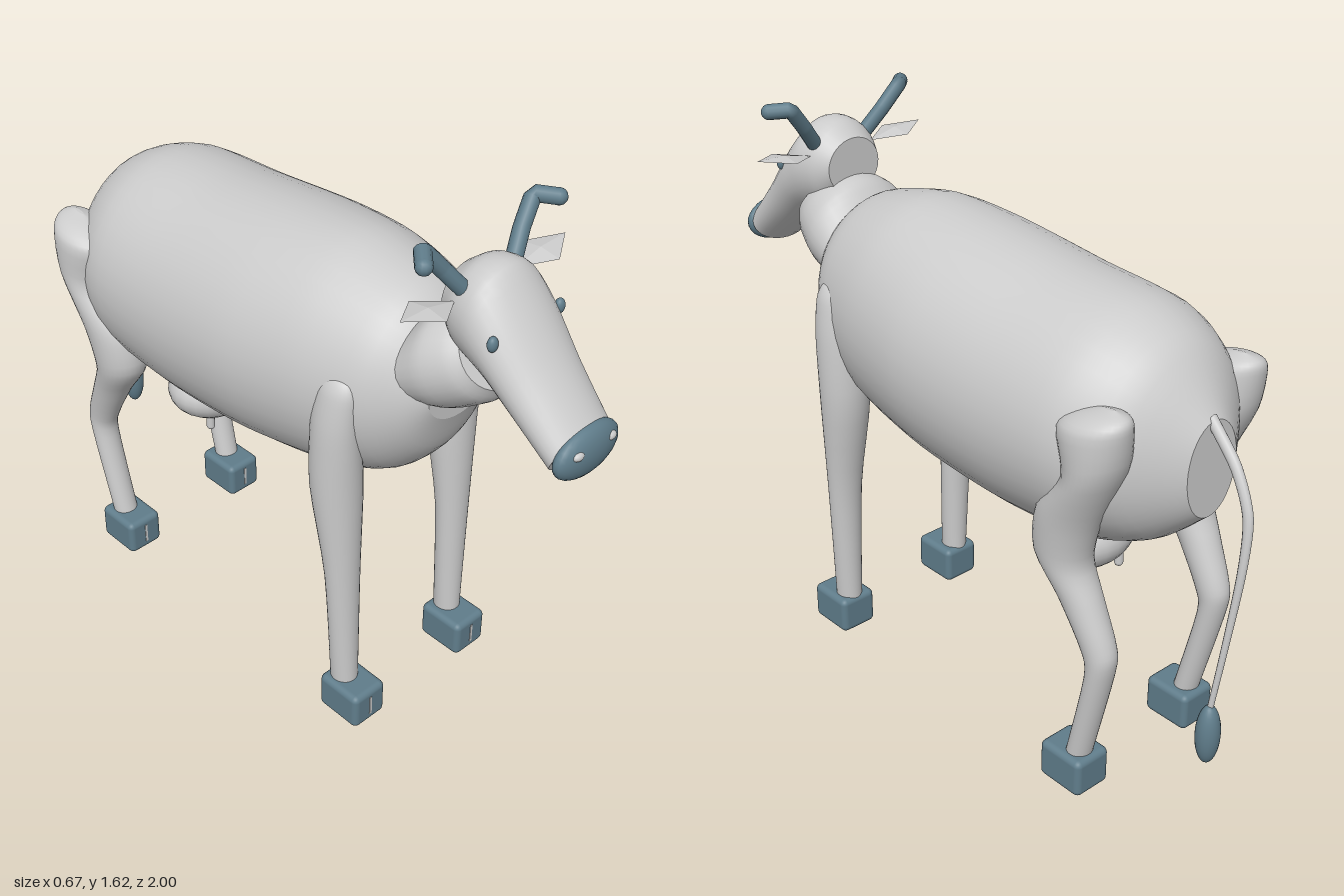
import * as THREE from 'three';
import { RoundedBoxGeometry } from 'three/addons/geometries/RoundedBoxGeometry.js';

const grey = new THREE.MeshStandardMaterial({ color: 0xcccccc });
const dark = new THREE.MeshStandardMaterial({ color: 0x607d8b });

// Smooth loft through oval rings [centreX, radiusX, z1, y1, z2, y2];
// (z1, y1) and (z2, y2) are opposite ends of the ring in the side plane.
function loft(rings, steps = 4, sides = 32) {
  const curve = (f) => new THREE.CatmullRomCurve3(rings.map(f), false, 'catmullrom', 0.4);
  const aCurve = curve((r) => new THREE.Vector3(0, r[3], r[2]));
  const bCurve = curve((r) => new THREE.Vector3(0, r[5], r[4]));
  const xCurve = curve((r) => new THREE.Vector3(r[0], r[1], 0));
  const n = (rings.length - 1) * steps;
  const pos = [], index = [], w = sides + 1;
  const ring = (t) => {
    const a = aCurve.getPoint(t), b = bCurve.getPoint(t), x = xCurve.getPoint(t);
    const mid = a.clone().add(b).multiplyScalar(0.5);
    const half = a.sub(b).multiplyScalar(0.5);
    for (let j = 0; j <= sides; j++) {
      const q = (j % sides) / sides * Math.PI * 2, c = Math.cos(q);
      pos.push(x.x + Math.sin(q) * x.y, mid.y + half.y * c, mid.z + half.z * c);
    }
    return [x.x, mid.y, mid.z];
  };
  for (let i = 0; i <= n; i++) ring(i / n);
  for (let i = 0; i < n; i++) {
    for (let j = 0; j < sides; j++) {
      const v = i * w + j;
      index.push(v, v + 1, v + w, v + 1, v + w + 1, v + w);
    }
  }
  // flat end caps with their own vertices
  for (const t of [0, 1]) {
    const s = pos.length / 3;
    const centre = ring(t);
    const c = pos.length / 3;
    pos.push(...centre);
    for (let j = 0; j < sides; j++) index.push(c, s + j + (t ? 0 : 1), s + j + (t ? 1 : 0));
  }
  const g = new THREE.BufferGeometry();
  g.setAttribute('position', new THREE.Float32BufferAttribute(pos, 3));
  g.setIndex(index);
  g.computeVertexNormals();
  // join the shading across the seam
  const nor = g.attributes.normal, v = new THREE.Vector3(), u = new THREE.Vector3();
  for (let i = 0; i <= n; i++) {
    const p = i * w, q = p + sides;
    v.fromBufferAttribute(nor, p).add(u.fromBufferAttribute(nor, q)).normalize();
    nor.setXYZ(p, v.x, v.y, v.z);
    nor.setXYZ(q, v.x, v.y, v.z);
  }
  return g;
}

export function createModel() {
  const model = new THREE.Group();
  model.name = 'cow';
  const add = (name, geometry, material = grey, x = 0, y = 0, z = 0) => {
    const m = new THREE.Mesh(geometry, material);
    m.name = name;
    m.position.set(x, y, z);
    model.add(m);
    return m;
  };
  const oval = (name, material, x, y, z, rx, ry, rz) =>
    add(name, new THREE.SphereGeometry(1, 24, 16), material, x, y, z).scale.set(rx, ry, rz);

  // Trunk, neck and head, each from front to back
  add('body', loft([
    [0, 0.12, 0.57, 1.22, 0.57, 1.03],
    [0, 0.18, 0.51, 1.30, 0.52, 0.90],
    [0, 0.245, 0.42, 1.365, 0.43, 0.80],
    [0, 0.295, 0.22, 1.41, 0.28, 0.735],
    [0, 0.33, 0, 1.40, 0, 0.69],
    [0, 0.33, -0.3, 1.37, -0.3, 0.67],
    [0, 0.315, -0.56, 1.35, -0.56, 0.69],
    [0, 0.24, -0.71, 1.28, -0.71, 0.745],
    [0, 0.09, -0.83, 1.12, -0.83, 0.85],
  ], 5, 40));
  add('neck', loft([
    [0, 0.12, 0.61, 1.37, 0.73, 1.20],
    [0, 0.145, 0.57, 1.375, 0.70, 1.15],
    [0, 0.17, 0.52, 1.36, 0.61, 1.09],
    [0, 0.17, 0.46, 1.29, 0.51, 1.06],
  ]));
  add('head', loft([
    [0, 0.108, 0.97, 1.20, 0.92, 1.08],
    [0, 0.12, 0.86, 1.325, 0.80, 1.17],
    [0, 0.133, 0.76, 1.45, 0.72, 1.23],
    [0, 0.133, 0.69, 1.525, 0.66, 1.25],
    [0, 0.12, 0.62, 1.525, 0.61, 1.27],
    [0, 0.09, 0.565, 1.485, 0.565, 1.32],
  ]));
  oval('muzzle', dark, 0, 1.14, 0.962, 0.115, 0.07, 0.038);

  // Udder
  oval('udder', grey, 0, 0.62, -0.407, 0.15, 0.097, 0.128);

  // Tail from tuft to rump
  add('tail', loft([
    [0.095, 0.008, -0.947, 0.36, -0.963, 0.36],
    [0.08, 0.009, -0.965, 0.55, -0.983, 0.55],
    [0.055, 0.011, -0.977, 0.78, -1.0, 0.78],
    [0.035, 0.013, -0.965, 0.92, -0.992, 0.93],
    [0.02, 0.015, -0.91, 1.02, -0.93, 1.045],
    [0, 0.016, -0.815, 1.10, -0.825, 1.135],
  ], 5, 12));
  oval('tailTuft', dark, 0.095, 0.3, -0.957, 0.034, 0.09, 0.033);

  // Paired parts
  for (const s of [1, -1]) {
    const side = s > 0 ? 'left' : 'right';

    add(side + 'FrontLeg', loft([
      [0.215, 0.038, 0.43, 0.10, 0.35, 0.10],
      [0.22, 0.053, 0.425, 0.50, 0.335, 0.50],
      [0.223, 0.073, 0.425, 0.80, 0.285, 0.80],
      [0.235, 0.06, 0.43, 1.0, 0.29, 1.0],
      [0.235, 0.043, 0.43, 1.11, 0.305, 1.11],
      [0.23, 0.028, 0.415, 1.15, 0.325, 1.15],
      [0.228, 0.005, 0.38, 1.165, 0.36, 1.165],
    ].map(([x, ...r]) => [s * x, ...r])));

    add(side + 'HindLeg', loft([
      [0.215, 0.038, -0.585, 0.10, -0.655, 0.10],
      [0.22, 0.042, -0.65, 0.385, -0.73, 0.41],
      [0.22, 0.046, -0.635, 0.47, -0.73, 0.49],
      [0.225, 0.057, -0.555, 0.61, -0.68, 0.61],
      [0.23, 0.073, -0.475, 0.73, -0.64, 0.71],
      [0.235, 0.08, -0.49, 0.86, -0.67, 0.84],
      [0.24, 0.085, -0.585, 0.98, -0.75, 1.02],
      [0.245, 0.08, -0.56, 1.11, -0.77, 1.14],
      [0.24, 0.05, -0.61, 1.155, -0.76, 1.172],
      [0.235, 0.005, -0.68, 1.18, -0.72, 1.185],
    ].map(([x, ...r]) => [s * x, ...r])));

    // Hooves with a thin strip down the front
    for (const [name, z] of [['Front', 0.42], ['Hind', -0.6]]) {
      add(side + name + 'Hoof', new RoundedBoxGeometry(0.12, 0.115, 0.15, 3, 0.018), dark, s * 0.212, 0.0575, z);
      add(side + name + 'HoofCleft', new THREE.BoxGeometry(0.008, 0.065, 0.006), grey, s * 0.212, 0.06, z + 0.074);
    }

    // Teats
    for (const z of [-0.35, -0.475]) {
      add(side + 'Teat', new THREE.CapsuleGeometry(0.013, 0.05, 4, 12), grey, s * 0.068, 0.543, z);
    }

    // Face
    oval(side + 'Eye', dark, s * 0.12, 1.39, 0.755, 0.015, 0.021, 0.013);
    oval(side + 'Nostril', grey, s * 0.06, 1.163, 0.986, 0.018, 0.012, 0.012);

    // Ear: a thin flat diamond
    const earGeometry = new THREE.OctahedronGeometry(1).toNonIndexed ? new THREE.OctahedronGeometry(1) : null;
    const ear = add(side + 'Ear', earGeometry, grey, s * 0.2, 1.453, 0.622);
    ear.scale.set(0.093, 0.01, 0.06);
    ear.rotation.z = s * 0.13;

    // Horn bending up, out and forward
    const path = new THREE.CurvePath();
    const pts = [[0.085, 1.465, 0.63], [0.14, 1.535, 0.605], [0.193, 1.6, 0.59], [0.235, 1.593, 0.635]]
      .map(([x, y, z]) => new THREE.Vector3(s * x, y, z));
    for (let i = 0; i < 3; i++) path.add(new THREE.LineCurve3(pts[i], pts[i + 1]));
    add(side + 'Horn', new THREE.TubeGeometry(path, 24, 0.022, 12), dark);
    add(side + 'HornTip', new THREE.SphereGeometry(0.022, 12, 8), dark, ...pts[3].toArray());
  }
  return model;
}
